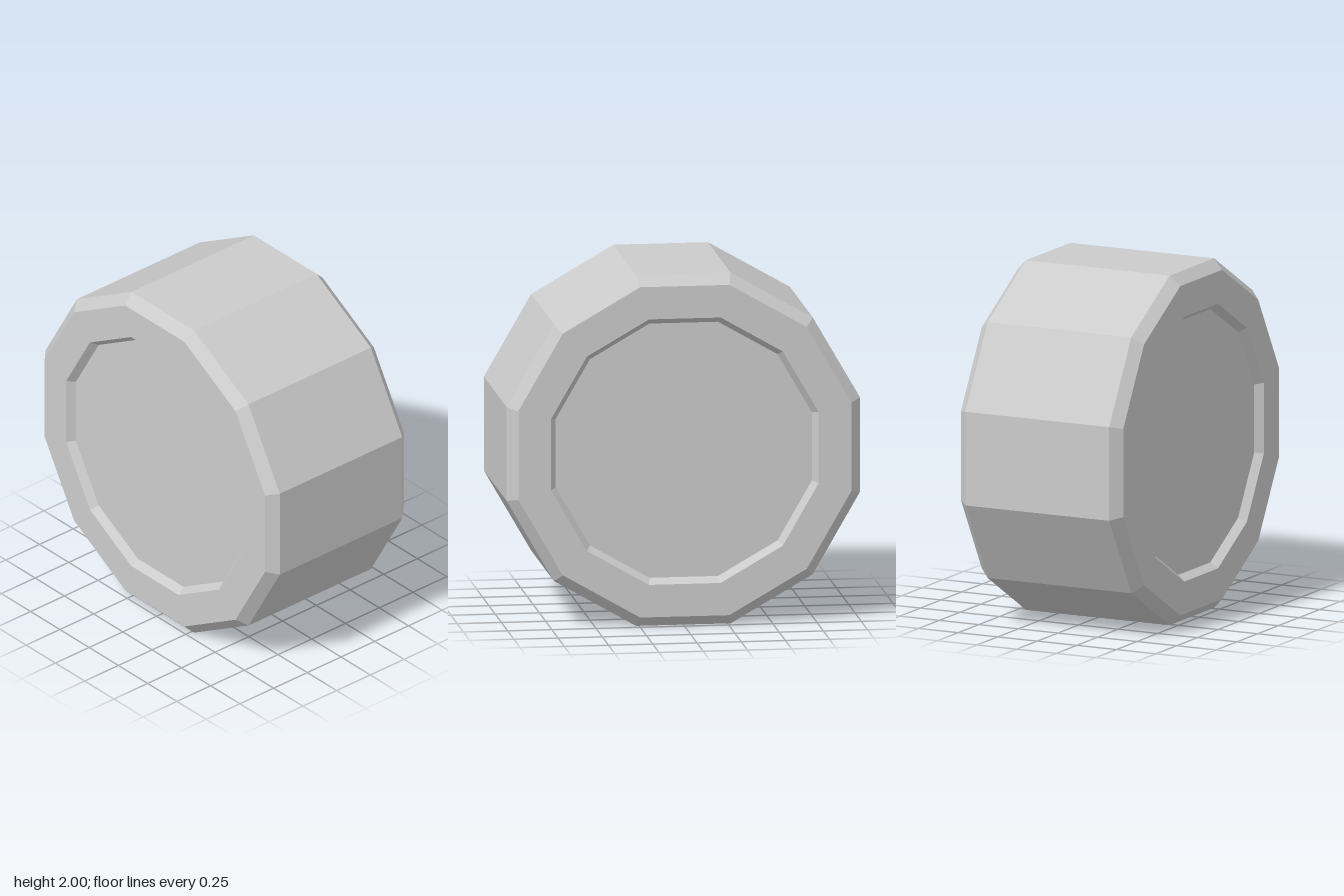
import * as THREE from 'three';

const SIDES = 12;

export function createModel() {
  const group = new THREE.Group();
  group.name = 'wheel';
  const material = new THREE.MeshStandardMaterial({ color: 0xcccccc, flatShading: true });

  // Half profile from the rim to the hub: [distance to flat side, depth]
  const half = [
    [1, 0.454],      // tread edge
    [0.942, 0.513],  // chamfer
    [0.757, 0.513],  // sidewall
    [0.725, 0.469],  // recess wall
    [0, 0.469],      // recess floor
  ];
  const toCorner = 1 / Math.cos(Math.PI / SIDES);
  const profile = [
    ...half.slice().reverse().map(([r, z]) => new THREE.Vector2(r * toCorner, -z)),
    ...half.map(([r, z]) => new THREE.Vector2(r * toCorner, z)),
  ];

  // Twelve-sided body, turned so its axle lies along z and a flat side rests on the ground
  const geometry = new THREE.LatheGeometry(profile, SIDES, Math.PI / SIDES);
  geometry.rotateX(Math.PI / 2);
  const body = new THREE.Mesh(geometry, material);
  body.name = 'wheelBody';
  body.position.y = 1;
  group.add(body);

  return group;
}
